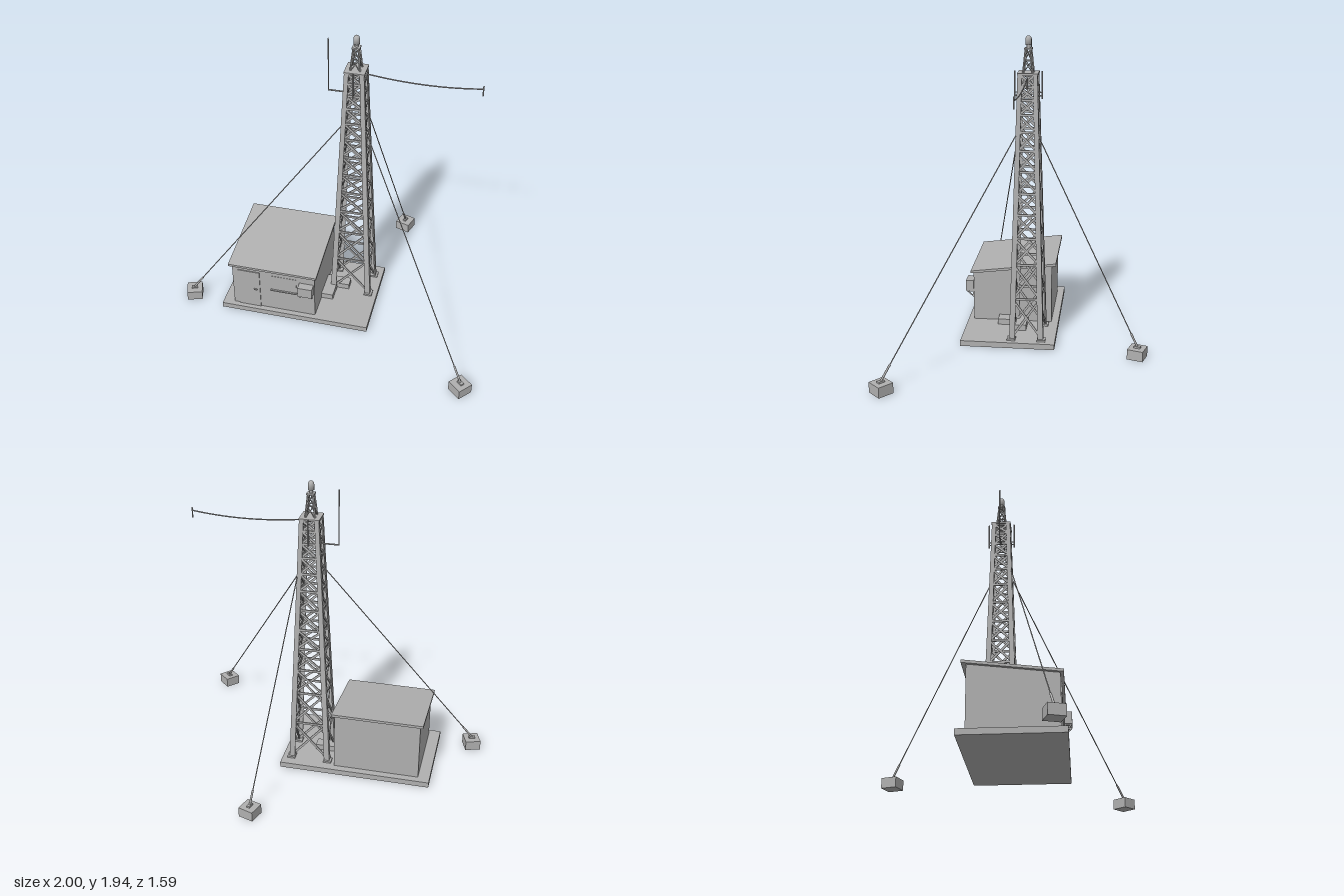
import * as THREE from 'three';

const grey = new THREE.MeshStandardMaterial({ color: 0xb0b0b0 });
grey.name = 'concrete grey';
const V = (x, y, z) => new THREE.Vector3(x, y, z);
const lerp = THREE.MathUtils.lerp;

function add(parent, name, geo) {
  const m = new THREE.Mesh(geo, grey);
  m.name = name;
  parent.add(m);
  return m;
}
// Box given by its minimum and maximum corners
function box(parent, name, x0, x1, y0, y1, z0, z1) {
  const m = add(parent, name, new THREE.BoxGeometry(x1 - x0, y1 - y0, z1 - z0));
  m.position.set((x0 + x1) / 2, (y0 + y1) / 2, (z0 + z1) / 2);
  return m;
}
// Square bar between two points
function bar(parent, name, a, b, w = 0.01, h = w) {
  const m = add(parent, name, new THREE.BoxGeometry(w, h, a.distanceTo(b)));
  m.position.copy(a).lerp(b, 0.5);
  m.lookAt(b);
  return m;
}
// Round rod between two points
function rod(parent, name, a, b, r) {
  const m = add(parent, name, new THREE.CylinderGeometry(r, r, a.distanceTo(b), 8));
  m.position.copy(a).lerp(b, 0.5);
  m.quaternion.setFromUnitVectors(V(0, 1, 0), b.clone().sub(a).normalize());
  return m;
}
// Outline in (z, y) swept along x
function sweepX(parent, name, pts, x0, x1) {
  const shape = new THREE.Shape(pts.map(([z, y]) => new THREE.Vector2(-z, y)));
  const geo = new THREE.ExtrudeGeometry(shape, { depth: x1 - x0, bevelEnabled: false });
  geo.rotateY(Math.PI / 2).translate(x0, 0, 0);
  return add(parent, name, geo);
}
function group(parent, name) {
  const g = new THREE.Group();
  g.name = name;
  parent.add(g);
  return g;
}

const CX = 0.085, CZ = -0.037, Y0 = 0.045, Y1 = 1.715;
const halfX = (y) => lerp(0.135, 0.06, (y - Y0) / (Y1 - Y0));
const halfZ = (y) => lerp(0.108, 0.06, (y - Y0) / (Y1 - Y0));
const corner = (sx, sz, y, inset = 0) =>
  V(CX + sx * (halfX(y) - inset), y, CZ + sz * (halfZ(y) - inset));
const CORNERS = [[1, 1], [-1, 1], [-1, -1], [1, -1]];

function buildShed(root) {
  const g = group(root, 'equipmentShed');
  sweepX(g, 'shedWalls', [[0.342, 0.035], [0.342, 0.364], [-0.173, 0.428], [-0.173, 0.035]], -0.645, -0.09);
  sweepX(g, 'shedRoof', [[0.36, 0.361], [0.36, 0.377], [-0.2, 0.448], [-0.2, 0.431]], -0.665, -0.075);
  box(g, 'door', -0.605, -0.46, 0.036, 0.33, 0.342, 0.348);
  box(g, 'doorHandle', -0.5, -0.478, 0.181, 0.189, 0.348, 0.356);
  // Window with slim mullions and a sill
  box(g, 'windowPane', -0.378, -0.212, 0.205, 0.32, 0.342, 0.344);
  box(g, 'windowSill', -0.385, -0.21, 0.198, 0.206, 0.342, 0.354);
  // Cooling unit on two brackets
  box(g, 'coolingUnit', -0.19, -0.095, 0.23, 0.302, 0.344, 0.395);
  for (const x of [-0.177, -0.108]) {
    bar(g, 'bracketArm', V(x, 0.226, 0.342), V(x, 0.226, 0.392), 0.008);
    bar(g, 'bracketStrut', V(x, 0.185, 0.344), V(x, 0.226, 0.39), 0.007);
    bar(g, 'bracketPost', V(x, 0.185, 0.346), V(x, 0.23, 0.346), 0.008);
  }
}

function buildTower(root) {
  const g = group(root, 'latticeTower');
  // Tapered angle-iron legs on foot plates
  for (const [sx, sz] of CORNERS) {
    const w = 0.036, t = 0.008;
    const pts = [[0, 0], [w, 0], [w, t], [t, t], [t, w], [0, w]];
    const shape = new THREE.Shape(pts.map(([a, b]) => new THREE.Vector2(-sx * a, sz * b)));
    const geo = new THREE.ExtrudeGeometry(shape, { depth: 1, bevelEnabled: false });
    geo.rotateX(-Math.PI / 2);
    const p = geo.attributes.position;
    for (let i = 0; i < p.count; i++) {
      const f = p.getY(i), y = lerp(Y0, Y1, f), k = lerp(1, 0.75, f), c = corner(sx, sz, y);
      p.setXYZ(i, c.x + p.getX(i) * k, y, c.z + p.getZ(i) * k);
    }
    geo.computeVertexNormals();
    add(g, 'towerLeg', geo);
    const f = corner(sx, sz, Y0, 0.013);
    box(g, 'footPlate', f.x - 0.026, f.x + 0.026, 0.035, 0.047, f.z - 0.026, f.z + 0.026);
  }
  // Horizontal and crossed bracing on all four faces
  const levels = [0.05, 0.305, 0.53, 0.7, 0.85, 0.985, 1.12, 1.25, 1.365, 1.47, 1.56, 1.64, 1.71];
  CORNERS.forEach((a, k) => {
    const b = CORNERS[(k + 1) % 4];
    levels.forEach((y, i) => {
      if (i) bar(g, 'horizontalBrace', corner(...a, y, 0.012), corner(...b, y, 0.012), 0.009, 0.014);
      if (i === levels.length - 1) return;
      const y2 = levels[i + 1];
      bar(g, 'crossBrace', corner(...a, y, 0.012), corner(...b, y2, 0.012), 0.007, 0.014);
      bar(g, 'crossBrace', corner(...b, y, 0.016), corner(...a, y2, 0.016), 0.007, 0.014);
    });
  });
  box(g, 'topPlate', CX - 0.063, CX + 0.063, 1.711, 1.722, CZ - 0.063, CZ + 0.063);

  // Small pyramid mast carrying the beacon
  const s = group(g, 'beaconMast');
  const pt = ([sx, sz], f) => {
    const h = lerp(0.029, 0.015, f);
    return V(CX + sx * h, lerp(1.72, 1.862, f), CZ + sz * h);
  };
  CORNERS.forEach((a, k) => {
    const b = CORNERS[(k + 1) % 4];
    bar(s, 'mastLeg', pt(a, 0), pt(a, 1), 0.009);
    bar(s, 'mastTie', pt(a, 0.5), pt(b, 0.5), 0.006);
    for (const f of [0, 0.5]) {
      bar(s, 'mastBrace', pt(a, f), pt(b, f + 0.5), 0.005);
      bar(s, 'mastBrace', pt(b, f), pt(a, f + 0.5), 0.005);
    }
  });
  box(s, 'mastCap', CX - 0.024, CX + 0.024, 1.858, 1.867, CZ - 0.024, CZ + 0.024);
  rod(s, 'beaconStem', V(CX, 1.865, CZ), V(CX, 1.888, CZ), 0.011);
  const dome = [[0, 1.885], [0.019, 1.885], [0.019, 1.918], [0.016, 1.93], [0.009, 1.938], [0, 1.94]];
  add(s, 'beaconLamp', new THREE.LatheGeometry(dome.map(([r, y]) => new THREE.Vector2(r, y)), 16))
    .position.set(CX, 0, CZ);
}

function buildAntennas(root) {
  const g = group(root, 'antennas');
  rod(g, 'whipArm', V(0.03, 1.552, CZ), V(-0.085, 1.552, CZ), 0.005);
  rod(g, 'whipAntenna', V(-0.083, 1.55, CZ), V(-0.083, 1.9, CZ), 0.0035);
  // Short vertical antennas on the front and back faces
  for (const s of [1, -1]) {
    const z = CZ + s * 0.083;
    rod(g, 'sideAntenna', V(CX, 1.56, z), V(CX, 1.73, z), 0.005);
    for (const y of [1.58, 1.6]) rod(g, 'sideAntennaArm', V(CX, y, CZ + s * 0.05), V(CX, y, z), 0.004);
  }
  // Sagging wire antenna between two end posts
  const curve = new THREE.QuadraticBezierCurve3(V(0.145, 1.694, CZ), V(0.5, 1.644, CZ), V(0.83, 1.69, CZ));
  add(g, 'wireAntenna', new THREE.TubeGeometry(curve, 20, 0.004, 6));
  rod(g, 'wireInnerPost', V(0.157, 1.628, CZ), V(0.157, 1.695, CZ), 0.004);
  rod(g, 'wireOuterPost', V(0.83, 1.643, CZ), V(0.83, 1.71, CZ), 0.004);
}

function buildGuys(root) {
  const anchors = [[0.313, -0.735, 1, -1], [-0.94, 0.31, -1, 1], [0.925, 0.72, 1, 1]];
  for (const [x, z, sx, sz] of anchors) {
    const g = group(root, 'guyAnchor');
    const yaw = Math.atan2(CX - x, CZ - z);
    const block = add(g, 'anchorBlock', new THREE.BoxGeometry(0.1, 0.065, 0.1));
    block.position.set(x, 0.0325, z);
    const plate = add(g, 'anchorPlate', new THREE.BoxGeometry(0.022, 0.012, 0.04));
    plate.position.set(x, 0.07, z);
    block.rotation.y = plate.rotation.y = yaw;
    const low = V(x, 0.072, z), high = corner(sx, sz, 1.35, 0.003);
    rod(g, 'guyWire', low, high, 0.0033);
    rod(g, 'turnbuckle', low, low.clone().lerp(high, 0.065), 0.0065);
  }
}

export function createModel() {
  const root = new THREE.Group();
  root.name = 'radioStation';
  box(root, 'foundationSlab', -0.72, 0.265, 0, 0.036, -0.219, 0.377);
  buildShed(root);
  // Cable duct from shed to tower
  box(root, 'cableDuct', -0.09, -0.012, 0.035, 0.073, -0.02, 0.172);
  box(root, 'cableDuctEnd', -0.012, 0.07, 0.035, 0.073, -0.02, 0.05);
  buildTower(root);
  buildAntennas(root);
  buildGuys(root);
  return root;
}
